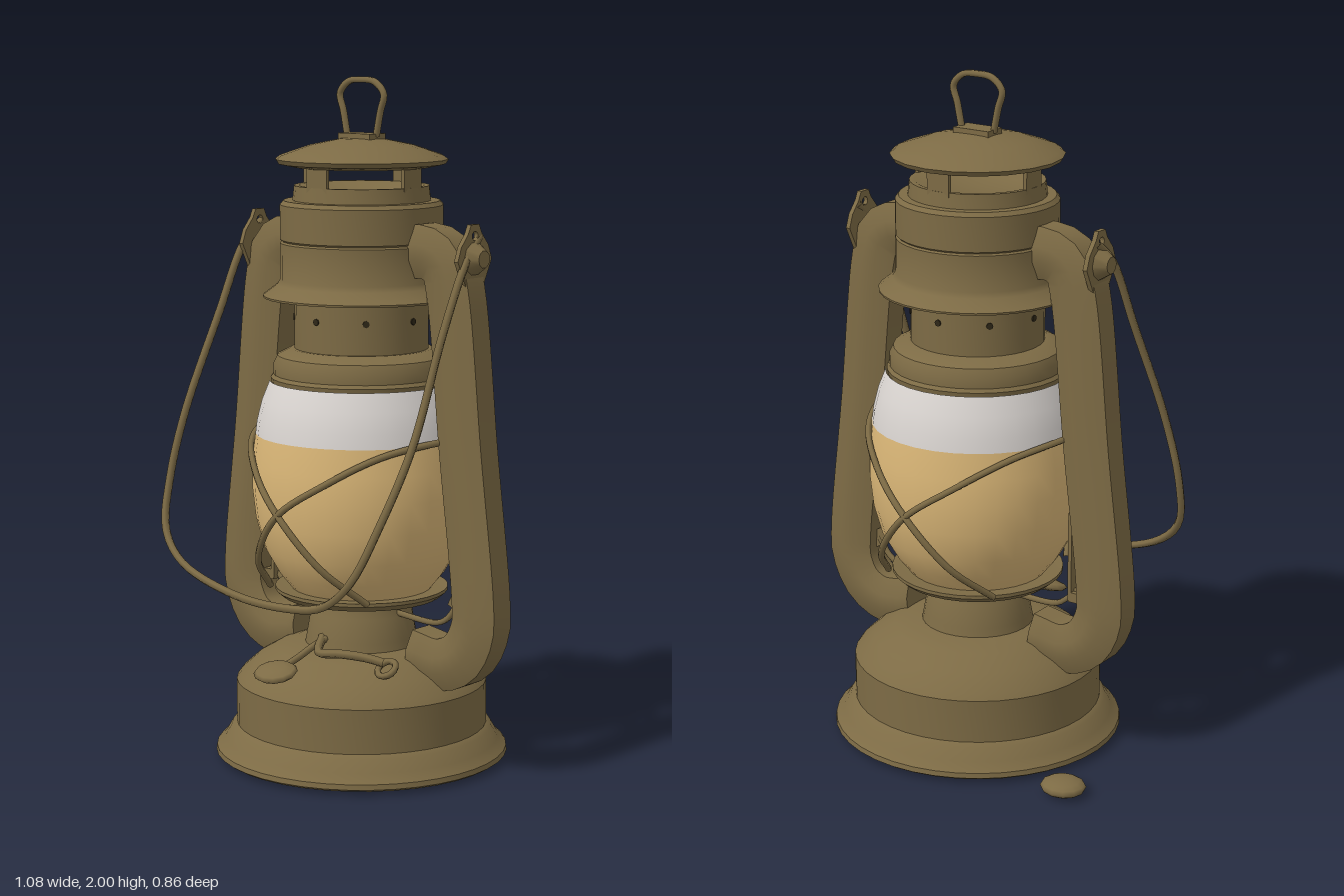
import * as THREE from 'three';
import { toCreasedNormals } from 'three/addons/utils/BufferGeometryUtils.js';

const brass = new THREE.MeshStandardMaterial({ color: 0x7d6b45 });
brass.name = 'aged brass';
const amber = new THREE.MeshStandardMaterial({ color: 0xdcb878 });
amber.name = 'amber glass';
const frost = new THREE.MeshStandardMaterial({ color: 0xdad5d1 });
frost.name = 'frosted glass';
const dark = new THREE.MeshStandardMaterial({ color: 0x2e2718 });
dark.name = 'dark hole';

export function createModel() {
  const root = new THREE.Group();
  root.name = 'oilLantern';
  const body = new THREE.Group();
  body.name = 'lantern';
  body.position.x = 0.007;
  root.add(body);

  const add = (name, geo, mat = brass, pos = [0, 0, 0]) => {
    const m = new THREE.Mesh(geo, mat);
    m.name = name;
    m.position.set(...pos);
    body.add(m);
    return m;
  };
  // profile points run from bottom to top as [radius, height]
  const lathe = (name, pts, mat = brass, seg = 32) => add(name, toCreasedNormals(
    new THREE.LatheGeometry(pts.map(p => new THREE.Vector2(...p)), seg), 0.6), mat);
  const curve = (pts, closed = false) =>
    new THREE.CatmullRomCurve3(pts.map(p => new THREE.Vector3(...p)), closed);
  const wire = (name, pts, r = 0.011, closed = false, steps = 48) =>
    add(name, new THREE.TubeGeometry(curve(pts, closed), steps, r, 6, closed));

  // fuel tank with a flared foot and domed shoulder
  lathe('fuelTank', [[0, 0.012], [0.42, 0.012], [0.432, 0.02], [0.43, 0.035], [0.405, 0.06],
    [0.385, 0.095], [0.37, 0.105], [0.37, 0.235], [0.358, 0.252], [0.31, 0.295], [0.25, 0.33],
    [0.2, 0.345], [0, 0.35]], brass, 40);
  lathe('burner', [[0.17, 0.33], [0.162, 0.37], [0.15, 0.44], [0.138, 0.465], [0.138, 0.5]]);
  lathe('globeGallery', [[0.13, 0.485], [0.235, 0.488], [0.255, 0.505], [0.255, 0.515],
    [0.22, 0.512], [0, 0.512]]);

  // glass globe in two colours
  lathe('lowerGlobe', [[0.205, 0.51], [0.245, 0.56], [0.285, 0.63], [0.31, 0.72], [0.32, 0.81],
    [0.32, 0.89], [0.31, 0.97]], amber);
  lathe('upperGlobe', [[0.31, 0.97], [0.305, 1.01], [0.29, 1.07], [0.268, 1.125]], frost);

  // chimney stack
  lathe('globeCollar', [[0.2, 1.118], [0.262, 1.12], [0.265, 1.135], [0.257, 1.145], [0.257, 1.175],
    [0.245, 1.2], [0.205, 1.22], [0.19, 1.22]]);
  lathe('chimney', [[0.195, 1.2], [0.195, 1.4]]);
  lathe('hood', [[0.19, 1.375], [0.285, 1.368], [0.286, 1.374], [0.245, 1.405], [0.236, 1.42],
    [0.236, 1.525], [0.231, 1.53], [0.236, 1.535], [0.236, 1.635], [0.226, 1.647], [0, 1.65]]);
  for (let i = 0; i < 8; i++) {
    const a = i * Math.PI / 4;
    const hole = add('airHole', new THREE.CylinderGeometry(0.01, 0.01, 0.006, 8), dark,
      [Math.sin(a) * 0.195, 1.31, Math.cos(a) * 0.195]);
    hole.rotation.set(Math.PI / 2, 0, -a);
  }

  // vent and rain cap
  lathe('ventBowl', [[0.2, 1.645], [0.195, 1.69], [0.18, 1.69], [0.13, 1.668], [0, 1.668]]);
  for (let i = 0; i < 4; i++) {
    const a = i * Math.PI / 2;
    add('ventPost', new THREE.BoxGeometry(0.075, 0.09, 0.012), brass,
      [Math.sin(a) * 0.187, 1.71, Math.cos(a) * 0.187]).rotation.y = a;
  }
  lathe('rainCap', [[0, 1.748], [0.195, 1.742], [0.242, 1.752], [0.25, 1.765], [0.235, 1.776],
    [0.15, 1.805], [0.06, 1.823], [0, 1.825]], brass, 20);
  add('finialBase', new THREE.BoxGeometry(0.12, 0.02, 0.07), brass, [0, 1.828, 0]);
  wire('topRing', [[-0.055, 1.83, 0], [-0.07, 1.9, 0], [-0.083, 1.95, 0], [-0.05, 1.984, 0],
    [0, 1.99, 0], [0.05, 1.984, 0], [0.083, 1.95, 0], [0.07, 1.9, 0], [0.055, 1.83, 0]], 0.01);

  // air tubes, ears and bosses on both sides
  const section = new THREE.Shape([[0.06, 0.022], [0.038, 0.076], [-0.038, 0.076], [-0.06, 0.022],
    [-0.06, -0.022], [-0.038, -0.076], [0.038, -0.076], [0.06, -0.022]]
    .map(p => new THREE.Vector2(...p)));
  const ear = new THREE.Shape([[-0.035, 1.42], [0.035, 1.42], [0.075, 1.5], [0.06, 1.54], [0.03, 1.575],
    [0.018, 1.6], [-0.018, 1.6], [-0.03, 1.575], [-0.06, 1.54], [-0.075, 1.5]]
    .map(p => new THREE.Vector2(...p)));
  const eye = new THREE.Path();
  eye.absarc(0, 1.568, 0.013, 0, Math.PI * 2, true);
  ear.holes.push(eye);
  for (const s of [-1, 1]) {
    const path = curve([[0.18, 1.51], [0.27, 1.515], [0.325, 1.485], [0.35, 1.41], [0.4, 0.96],
      [0.45, 0.53], [0.448, 0.45], [0.405, 0.37], [0.33, 0.333], [0.22, 0.345]]
      .map(([x, y]) => [s * x, y, 0]));
    add('airTube', toCreasedNormals(new THREE.ExtrudeGeometry(section,
      { steps: 44, extrudePath: path, curveSegments: 1 }), 0.5));
    const plate = add('handleEar', new THREE.ExtrudeGeometry(ear,
      { depth: 0.014, bevelEnabled: false, curveSegments: 6 }), brass, [s * 0.412 - 0.007, 0, 0]);
    plate.rotation.y = Math.PI / 2;
    const boss = add('earBoss', new THREE.CylinderGeometry(0.025, 0.055, 0.045, 10), brass,
      [s * 0.43, 1.505, 0]);
    boss.rotation.z = -s * Math.PI / 2;

    // guard wire wrapping the globe, crossing its twin front and back
    const half = [[-0.19, 0.515, 0.19], [-0.12, 0.63, 0.315], [0, 0.775, 0.362], [0.13, 0.87, 0.31],
      [0.25, 0.95, 0.2]];
    wire('guardWire', [...half, [0.325, 0.98, 0], ...half.map(([x, y, z]) => [x, y, -z]).reverse()]
      .map(([x, y, z]) => [s * x, y, z]), 0.01, false, 60);
  }

  // carrying bail, swung down to the front
  wire('bailHandle', [[-0.415, 1.565, -0.02], [-0.425, 1.5, 0.05], [-0.45, 1.3, 0.13], [-0.505, 1.0, 0.225],
    [-0.532, 0.8, 0.265], [-0.51, 0.66, 0.305], [-0.42, 0.575, 0.33], [-0.2, 0.51, 0.335],
    [0, 0.5, 0.328], [0.14, 0.525, 0.33], [0.25, 0.61, 0.335], [0.33, 0.78, 0.3], [0.385, 1.0, 0.225],
    [0.41, 1.3, 0.13], [0.42, 1.5, 0.04], [0.41, 1.565, -0.03]], 0.012, false, 90);

  // globe lifting rod with its lever frame
  wire('liftRod', [[-0.36, 0.52, 0], [-0.32, 0.48, 0], [-0.28, 0.455, 0], [-0.1, 0.452, 0], [0.1, 0.452, 0],
    [0.29, 0.445, 0], [0.33, 0.465, 0], [0.37, 0.52, 0]], 0.009);
  add('rodTab', new THREE.BoxGeometry(0.08, 0.05, 0.012), brass, [0.38, 0.51, 0]).rotation.z = -0.5;
  for (const [w, h, x, y] of [[0.012, 0.27, -0.34, 0.62], [0.07, 0.012, -0.372, 0.75],
    [0.07, 0.03, -0.372, 0.495], [0.012, 0.12, -0.378, 0.64]])
    add('lifterFrame', new THREE.BoxGeometry(w, h, 0.045), brass, [x, y, 0]);

  // wick adjuster, its knob and the filler-cap wire
  wire('wickShaft', [[0, 0.385, 0.12], [0, 0.37, 0.2], [0, 0.345, 0.28], [0, 0.325, 0.36]], 0.01);
  const knob = add('wickKnob', new THREE.SphereGeometry(1, 12, 6), brass, [0, 0.322, 0.372]);
  knob.scale.set(0.07, 0.018, 0.058);
  knob.rotation.x = 0.3;
  wire('capWire', [[-0.02, 0.38, 0.15], [0.06, 0.365, 0.25], [0.14, 0.375, 0.25], [0.21, 0.37, 0.22],
    [0.26, 0.36, 0.2]], 0.013);
  const loop = add('capLoop', new THREE.TorusGeometry(0.028, 0.01, 6, 14), brass, [0.27, 0.345, 0.2]);
  loop.rotation.x = -0.9;

  // loose filler cap lying beside the lantern
  const cap = add('looseCap', new THREE.SphereGeometry(1, 12, 8), brass, [-0.482, 0.028, -0.262]);
  cap.scale.set(0.068, 0.025, 0.063);
  return root;
}
